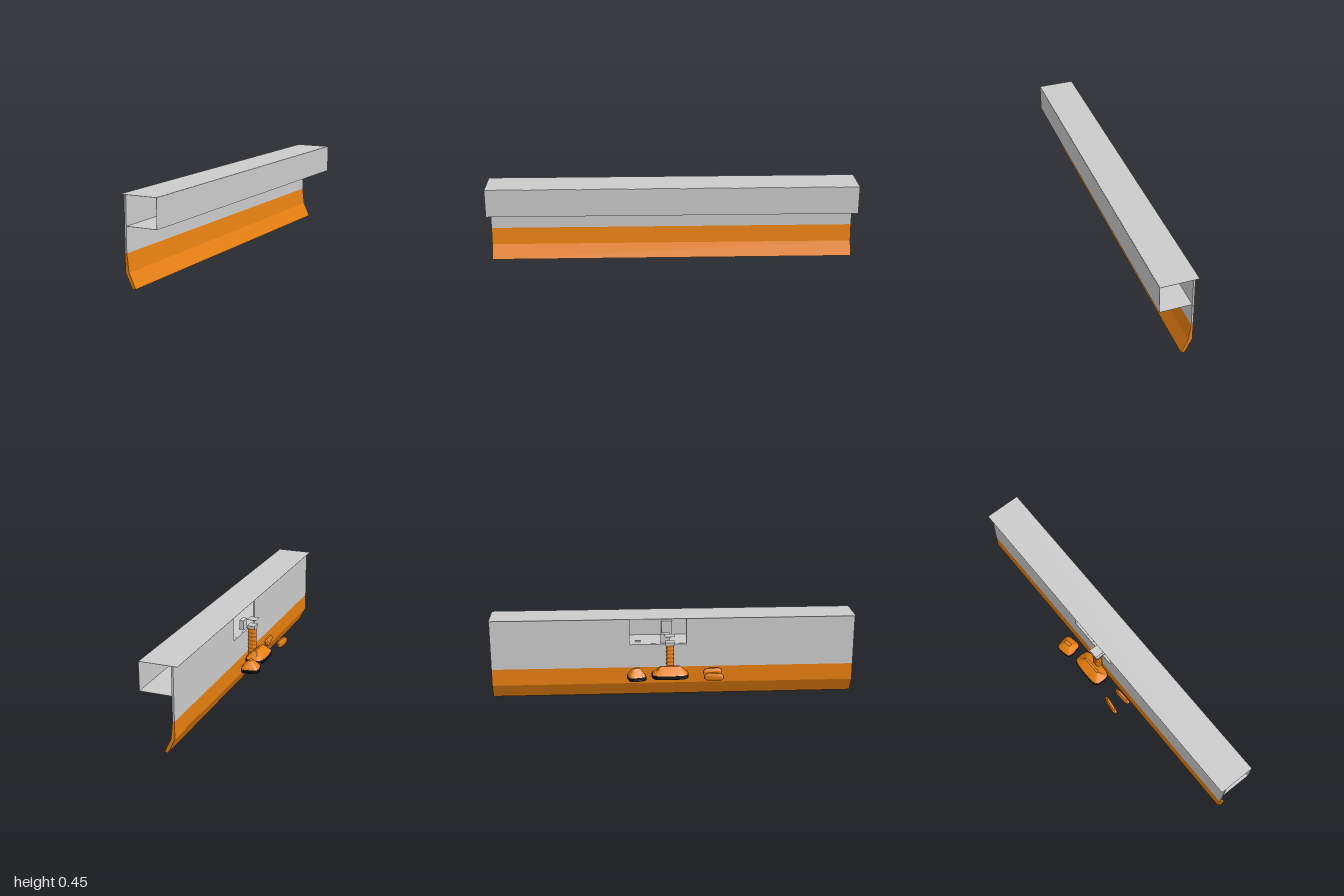
import * as THREE from 'three';

const grey = new THREE.MeshStandardMaterial({ color: 0xcccccc, side: THREE.DoubleSide });
const orange = new THREE.MeshStandardMaterial({ color: 0xe88010, side: THREE.DoubleSide, flatShading: true });
const black = new THREE.MeshStandardMaterial({ color: 0x111111, side: THREE.DoubleSide, flatShading: true });

// Box given by its minimum and maximum on each axis
function box(name, [x0, x1], [y0, y1], [z0, z1], material = grey) {
  const mesh = new THREE.Mesh(new THREE.BoxGeometry(x1 - x0, y1 - y0, z1 - z0), material);
  mesh.position.set((x0 + x1) / 2, (y0 + y1) / 2, (z0 + z1) / 2);
  mesh.name = name;
  return mesh;
}

// Stack of rounded-rectangle sections [y, halfX, halfZ], closed at both ends
function loft(name, sections, material, power = 0.5, sides = 24) {
  const pos = [], index = [];
  const bend = (v) => Math.sign(v) * Math.abs(v) ** power;
  for (const [y, hx, hz] of sections) {
    for (let i = 0; i < sides; i++) {
      const a = (i / sides) * Math.PI * 2;
      pos.push(hx * bend(Math.cos(a)), y, hz * bend(Math.sin(a)));
    }
  }
  const last = sections.length - 1;
  for (let s = 0; s < last; s++) {
    for (let i = 0; i < sides; i++) {
      const a = s * sides + i, b = s * sides + (i + 1) % sides;
      index.push(a, a + sides, b, b, a + sides, b + sides);
    }
  }
  for (let i = 1; i < sides - 1; i++) {
    const t = last * sides;
    index.push(0, i, i + 1, t, t + i + 1, t + i);
  }
  const geometry = new THREE.BufferGeometry();
  geometry.setAttribute('position', new THREE.Float32BufferAttribute(pos, 3));
  geometry.setIndex(index);
  geometry.computeVertexNormals();
  const mesh = new THREE.Mesh(geometry, material);
  mesh.name = name;
  return mesh;
}

// Black sole with a sloping orange cover
function pad(name, hx, hz, peak, topX, topZ) {
  const group = new THREE.Group();
  group.name = name;
  group.add(
    loft('sole', [[0.132, hx * 0.95, hz * 0.95], [0.137, hx, hz], [0.142, hx * 0.97, hz * 0.97],
      [0.147, hx, hz], [0.153, hx * 0.98, hz * 0.98]], black),
    loft('cover', [[0.153, hx * 0.96, hz * 0.96], [0.162, hx * 0.84, hz * 0.86], [peak, topX, topZ]], orange),
  );
  return group;
}

export function createModel() {
  const model = new THREE.Group();
  model.name = 'longBladeWithBackDevice';

  // Long wall with an opening in its upper half
  const wallX = [-0.021, -0.011];
  model.add(
    box('lowerWall', wallX, [0.17, 0.301], [-1, 1]),
    box('upperWallFront', wallX, [0.301, 0.451], [0.07, 1]),
    box('upperWallBack', wallX, [0.301, 0.451], [-1, -0.24]),
  );

  // Open-ended box beam: roof, floor and outer panel
  model.add(
    box('roof', [-0.043, 0.157], [0.451, 0.4525], [-1, 1]),
    box('floor', [-0.011, 0.158], [0.3, 0.3015], [-1, 1]),
    box('outerPanel', [0.1565, 0.158], [0.3015, 0.451], [-1, 1]),
  );

  // Bent blade along the bottom
  const profile = [[-0.021, 0.17], [-0.021, 0.077], [0.017, 0], [0.036, 0], [0, 0.077], [-0.011, 0.17]];
  const blade = new THREE.Mesh(
    new THREE.ExtrudeGeometry(new THREE.Shape(profile.map((p) => new THREE.Vector2(...p))),
      { depth: 2, bevelEnabled: false }), orange);
  blade.position.z = -1;
  blade.name = 'blade';
  model.add(blade);

  // Fittings inside the opening
  model.add(
    box('innerBox', [-0.01, 0.015], [0.304, 0.356], [-0.07, -0.02]),
    box('innerBlock', [0.131, 0.156], [0.302, 0.388], [-0.06, 0]),
    box('innerBracket', [0.024, 0.029], [0.302, 0.31], [-0.21, -0.18]),
    box('shelf', [-0.073, -0.021], [0.357, 0.3585], [-0.05, 0.005]),
  );

  // Ribbed column under a grey cap
  const ribs = [];
  for (let i = 0; i <= 14; i++) {
    const half = i % 2 ? 0.019 : 0.0215;
    ribs.push([0.15 + i * 0.0112, half, half]);
  }
  const column = loft('column', ribs, orange);
  column.position.set(-0.043, 0, -0.02);
  model.add(column, box('columnCap', [-0.065, -0.021], [0.306, 0.322], [-0.045, 0.005]));

  // Large pad and the smaller turned pad behind it
  const mainPad = pad('mainPad', 0.054, 0.102, 0.194, 0.006, 0.055);
  mainPad.position.set(-0.081, 0, -0.022);
  const rearPad = pad('rearPad', 0.05, 0.05, 0.194, 0.008, 0.02);
  rearPad.position.set(-0.104, 0, -0.206);
  rearPad.rotation.y = 0.2;
  model.add(mainPad, rearPad);

  // Two slim prongs ahead of the pads
  for (const [x, turn] of [[-0.133, -0.13], [-0.052, 0.05]]) {
    const prong = loft('prong', [[0.125, 0.008, 0.04], [0.137, 0.012, 0.054],
      [0.153, 0.012, 0.054], [0.168, 0.006, 0.036]], orange, 0.6, 16);
    prong.position.set(x, 0, 0.214);
    prong.rotation.y = turn;
    model.add(prong);
  }
  return model;
}
